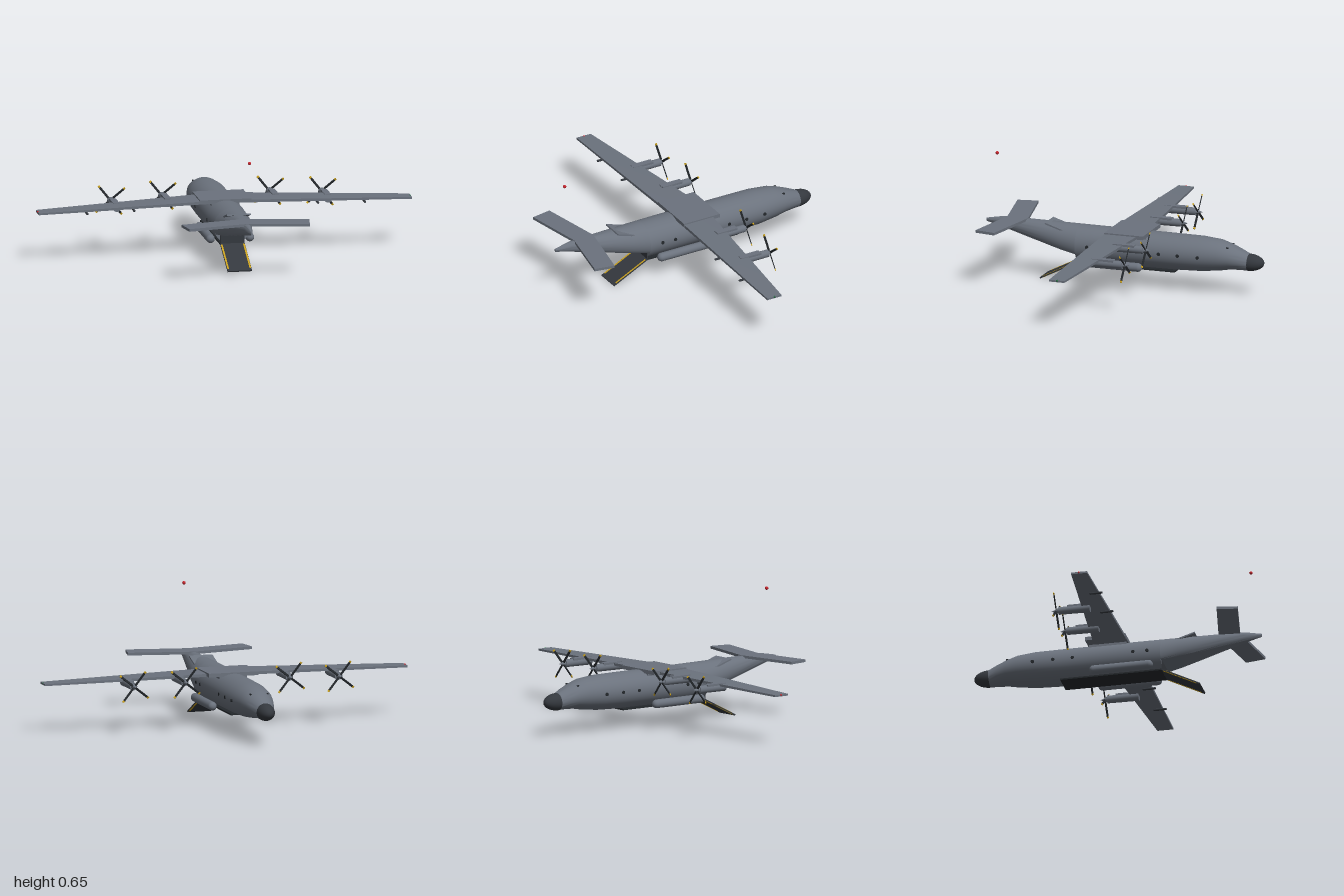
import * as THREE from 'three';
import { toCreasedNormals } from 'three/addons/utils/BufferGeometryUtils.js';

const mat = (name, color, side = THREE.FrontSide) => {
  const m = new THREE.MeshStandardMaterial({ color, side });
  m.name = name;
  return m;
};

// Skin a list of closed rings of [x, y, z] points and cap both ends
function loft(rings, crease = 0.6) {
  const n = rings[0].length, pos = rings.flat(2), idx = [];
  for (let i = 0; i < rings.length - 1; i++) {
    for (let j = 0; j < n; j++) {
      const a = i * n + j, b = i * n + (j + 1) % n, c = a + n, d = b + n;
      idx.push(a, b, c, b, d, c);
    }
  }
  const last = (rings.length - 1) * n;
  for (let j = 1; j < n - 1; j++) {
    idx.push(0, j + 1, j, last, last + j, last + j + 1);
  }
  const g = new THREE.BufferGeometry();
  g.setAttribute('position', new THREE.Float32BufferAttribute(pos, 3));
  g.setIndex(idx);
  return toCreasedNormals(g, crease);
}

// Oval fuselage section with its underside cut flat at floor
function section([z, w, top, cy, floor]) {
  const ring = [];
  for (let i = 0; i < 40; i++) {
    const t = i / 40 * Math.PI * 2;
    ring.push([w * Math.cos(t), Math.max(floor, cy + (top - cy) * Math.sin(t)), z]);
  }
  return ring;
}

// Four-cornered section of a wing panel
const wingRing = (xLe, xTe, le, te, y, h) =>
  [[xLe, y + h, le], [xTe, y + h, te], [xTe, y - h, te], [xLe, y - h, le]];

export function createModel() {
  const grey = mat('bodyGrey', 0x6b727d);
  const dark = mat('noseCharcoal', 0x34383e);
  const black = mat('floorBlack', 0x24282c);
  const yellow = mat('markingYellow', 0xc9a01e);
  const red = mat('lightRed', 0xc4242c);
  const green = mat('lightGreen', 0x2c6b45);
  const model = new THREE.Group();
  const add = (name, geo, material, x = 0, y = 0, z = 0, parent = model) => {
    const m = new THREE.Mesh(geo, material);
    m.name = name;
    m.position.set(x, y, z);
    parent.add(m);
    return m;
  };
  const box = (w, h, d) => new THREE.BoxGeometry(w, h, d);

  // Fuselage: z, half width, top, centre height, floor
  add('fuselage', loft([
    [-0.69, 0.046, 0.227, 0.182, 0.137],
    [-0.64, 0.063, 0.25, 0.194, 0.137],
    [-0.59, 0.078, 0.27, 0.203, 0.136],
    [-0.53, 0.091, 0.289, 0.207, 0.125],
    [-0.43, 0.104, 0.298, 0.206, 0.115],
    [-0.3, 0.106, 0.299, 0.204, 0.11],
    [0.1, 0.106, 0.3, 0.203, 0.11],
    [0.25, 0.099, 0.301, 0.203, 0.11],
  ].map(section)), grey);
  add('tailCone', loft([
    [0.25, 0.099, 0.301, 0.203, 0.16],
    [0.34, 0.086, 0.302, 0.219, 0.174],
    [0.42, 0.07, 0.303, 0.233, 0.19],
    [0.56, 0.045, 0.305, 0.257, 0.222],
    [0.68, 0.022, 0.305, 0.275, 0.25],
    [0.773, 0.004, 0.288, 0.279, 0.27],
  ].map(section)), grey);
  const nose = add('noseCone', new THREE.SphereGeometry(1, 32, 16, 0, Math.PI * 2, 0, Math.PI / 2), dark, 0, 0.182, -0.685);
  nose.rotation.x = -Math.PI / 2;
  nose.scale.set(0.047, 0.085, 0.046);

  // Cargo bay, ramp and raised upper door
  add('cargoFloor', box(0.13, 0.008, 0.545), black, 0, 0.109, -0.0225);
  add('cargoOpening', box(0.13, 0.052, 0.004), dark, 0, 0.136, 0.251);
  const ramp = new THREE.Group();
  ramp.name = 'ramp';
  ramp.position.set(0, 0.058, 0.352);
  ramp.rotation.x = Math.atan2(0.103, 0.205);
  model.add(ramp);
  add('rampPlate', box(0.13, 0.007, 0.228), dark, 0, 0, 0, ramp);
  for (const s of [-1, 1]) {
    add('rampStripe', box(0.009, 0.009, 0.2), yellow, s * 0.059, 0, -0.004, ramp);
  }
  const door = add('upperDoor', box(0.128, 0.008, 0.18), grey, 0, 0.277, 0.342);
  door.rotation.x = -0.31;

  // Wing with slight downward slope, and its centre fairing
  add('wing', loft([
    wingRing(-0.995, -0.995, -0.019, 0.066, 0.268, 0.005),
    wingRing(0, 0, -0.118, 0.07, 0.294, 0.008),
    wingRing(0.995, 0.995, -0.019, 0.066, 0.268, 0.005),
  ], 0.3), grey);
  add('wingCentre', box(0.272, 0.02, 0.216), grey, 0, 0.295, -0.037);
  add('wingFairing', box(0.15, 0.03, 0.2), grey, 0, 0.275, -0.037);
  add('tailplane', loft([
    wingRing(-0.341, -0.321, 0.61, 0.719, 0.3, 0.007),
    wingRing(0, 0, 0.542, 0.658, 0.3, 0.007),
    wingRing(0.341, 0.321, 0.61, 0.719, 0.3, 0.007),
  ], 0.3), grey);

  // Engines with four-bladed propellers: x, height, propeller z
  const nacelleGeo = new THREE.CylinderGeometry(0.02, 0.022, 0.17, 24).rotateX(-Math.PI / 2);
  const spinnerGeo = new THREE.ConeGeometry(0.015, 0.04, 20).rotateX(-Math.PI / 2);
  for (const [x, y, z] of [[0.287, 0.276, -0.216], [0.563, 0.265, -0.199]]) {
    for (const s of [-1, 1]) {
      const engine = new THREE.Group();
      engine.name = 'engine';
      engine.position.set(s * x, y, z);
      model.add(engine);
      add('nacelle', nacelleGeo, grey, 0, 0, 0.097, engine);
      add('nacellePylon', box(0.034, 0.022, 0.12), grey, 0, 0.012, 0.12, engine);
      add('spinner', spinnerGeo, grey, 0, 0, -0.006, engine);
      for (let i = 0; i < 4; i++) {
        const blade = new THREE.Group();
        blade.name = 'propellerBlade';
        blade.rotation.z = i * Math.PI / 2 + 0.67;
        engine.add(blade);
        add('blade', box(0.08, 0.011, 0.005), black, 0.05, 0, 0, blade).rotation.x = 0.4;
        add('bladeTip', box(0.01, 0.011, 0.005), yellow, 0.095, 0, 0, blade).rotation.x = 0.4;
      }
    }
  }

  const podGeo = new THREE.CapsuleGeometry(0.023, 0.295, 10, 24).rotateX(Math.PI / 2);
  const flapGeo = new THREE.CapsuleGeometry(0.006, 0.06, 6, 12).rotateX(Math.PI / 2);
  const portGeo = new THREE.CylinderGeometry(0.009, 0.009, 0.008, 20).rotateZ(Math.PI / 2);
  for (const s of [-1, 1]) {
    // Wheel pods and flap fairings
    add('wheelPod', podGeo, grey, s * 0.105, 0.126, 0.042);
    for (const [x, y] of [[0.49, 0.269], [0.74, 0.263]]) {
      add('flapFairing', flapGeo, dark, s * x, y, 0.055);
    }
    // Portholes and cockpit windows
    for (const z of [0.18, 0.105, -0.22, -0.325, -0.435]) {
      add('porthole', portGeo, black, s * (z > 0.15 ? 0.102 : 0.104), 0.208, z);
    }
    add('cockpitWindow', box(0.008, 0.009, 0.012), black, s * 0.046, 0.259, -0.582);
    // Wing tip lights
    add('wingTipLight', new THREE.SphereGeometry(0.006, 12, 8), s < 0 ? red : green, s * 0.992, 0.27, 0.022);
  }

  // Beacon above the tail
  add('beacon', new THREE.SphereGeometry(0.009, 16, 12), red, 0, 0.645, 0.715);
  return model;
}
